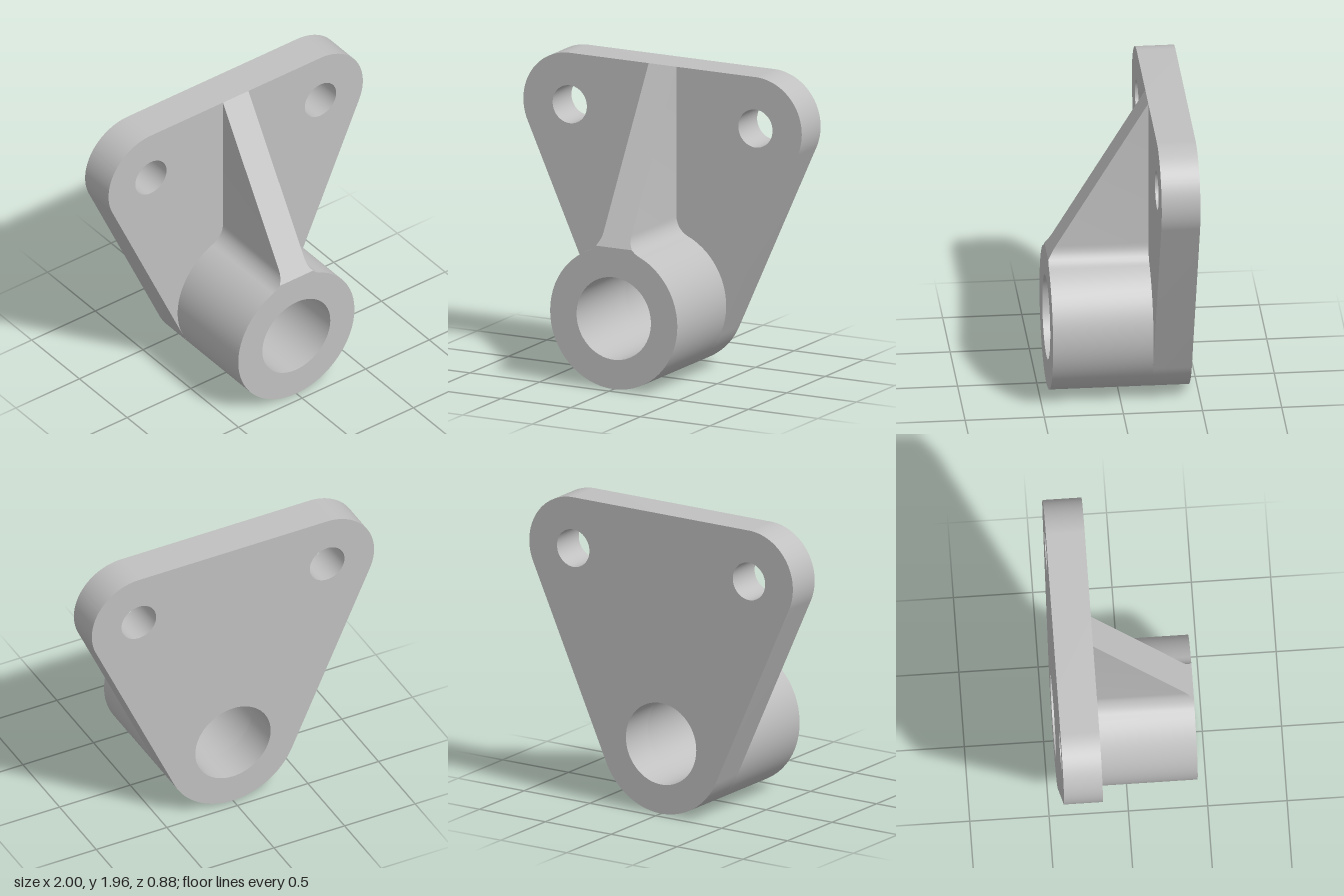
import * as THREE from 'three';
import { toCreasedNormals } from 'three/addons/utils/BufferGeometryUtils.js';

const BACK = -0.44, PLATE_FRONT = -0.195, FRONT = 0.44, TOP = 1.963;
const BOSS = { y: 0.457, r: 0.457, bore: 0.267 };
const LUG = { x: 0.667, y: 1.63, r: 0.333, hole: 0.123 };

function addHole(shape, x, y, r) {
  const hole = new THREE.Path();
  hole.absarc(x, y, r, 0, Math.PI * 2, true);
  shape.holes.push(hole);
}

function extrude(shape, z0, z1) {
  const geo = new THREE.ExtrudeGeometry(shape, { depth: z1 - z0, bevelEnabled: false, curveSegments: 32 });
  geo.translate(0, 0, z0);
  return toCreasedNormals(geo, 0.6);
}

// Rounded triangle: three arcs joined by their common tangents
function plateShape() {
  const dx = LUG.x, dy = LUG.y - BOSS.y;
  const t = Math.atan2(dy, dx) - Math.acos((BOSS.r - LUG.r) / Math.hypot(dx, dy));
  const s = new THREE.Shape();
  s.absarc(0, BOSS.y, BOSS.r, Math.PI - t, Math.PI * 2 + t, false);
  s.absarc(LUG.x, LUG.y, LUG.r, t, Math.PI / 2, false);
  s.absarc(-LUG.x, LUG.y, LUG.r, Math.PI / 2, Math.PI - t, false);
  s.closePath();
  addHole(s, 0, BOSS.y, BOSS.bore);
  for (const side of [-1, 1]) addHole(s, side * LUG.x, LUG.y, LUG.hole);
  return s;
}

function bossShape() {
  const s = new THREE.Shape();
  s.absarc(0, BOSS.y, BOSS.r, 0, Math.PI * 2, false);
  addHole(s, 0, BOSS.y, BOSS.bore);
  return s;
}

// Sloping rib lofted upward, flaring into the boss with a fillet
function ribGeometry() {
  const half = 0.1, fillet = 0.13, filletY = 0.997, bossTop = 0.914;
  const rows = [0.877, 0.884, 0.895, bossTop, 0.935, 0.955, 0.975, filletY, TOP].map((y) => {
    const d = Math.min(y - filletY, 0);
    const w = half + fillet - Math.sqrt(fillet * fillet - d * d);
    const k = Math.max(0, (y - bossTop) / (TOP - bossTop));
    const z = FRONT + (PLATE_FRONT - FRONT) * k;
    return [[w, y, PLATE_FRONT], [w, y, z], [-w, y, z], [-w, y, PLATE_FRONT]];
  });
  const pos = [];
  for (let i = 0; i < rows.length - 1; i++) {
    for (let j = 0; j < 3; j++) {
      const a = rows[i][j], b = rows[i][j + 1], c = rows[i + 1][j + 1], d = rows[i + 1][j];
      pos.push(...a, ...c, ...b, ...a, ...d, ...c);
    }
  }
  const geo = new THREE.BufferGeometry();
  geo.setAttribute('position', new THREE.Float32BufferAttribute(pos, 3));
  geo.computeVertexNormals();
  return toCreasedNormals(geo, 0.5);
}

export function createModel() {
  const group = new THREE.Group();
  group.name = 'bearingBracket';
  const metal = new THREE.MeshStandardMaterial({ color: 0xc0c0c0 });
  metal.name = 'light grey metal';
  const add = (name, geo) => {
    const mesh = new THREE.Mesh(geo, metal);
    mesh.name = name;
    group.add(mesh);
  };
  add('mountingPlate', extrude(plateShape(), BACK, PLATE_FRONT));
  add('boss', extrude(bossShape(), PLATE_FRONT, FRONT));
  add('rib', ribGeometry());
  return group;
}
